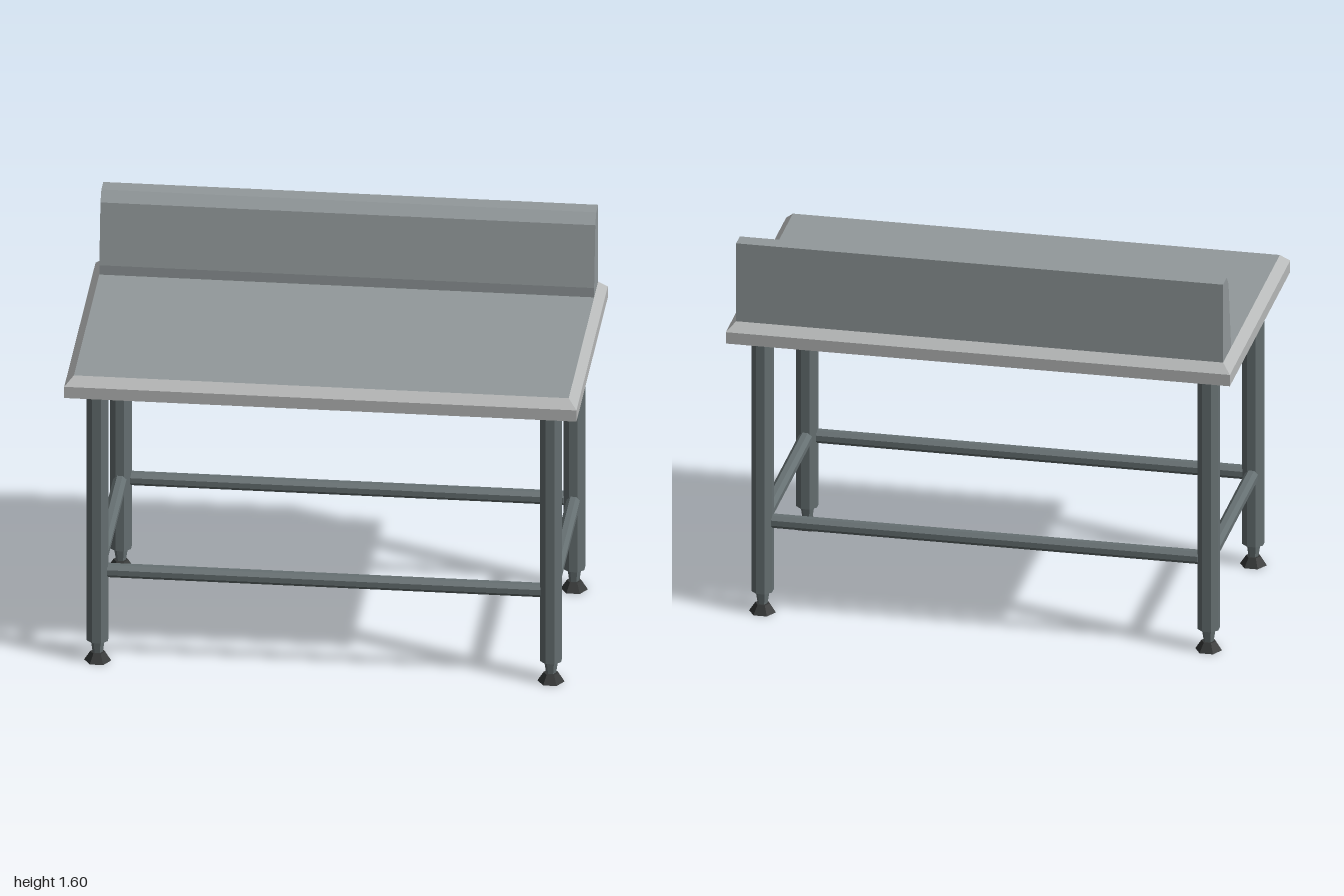
import * as THREE from 'three';

const LEG_X = 0.885, LEG_Z = 0.42, LEG_HALF = 0.041;
const FOOT_TOP = 0.09, TOP_BASE = 1.187, TOP_EDGE = 1.235, TOP_Y = 1.27;
const RAIL_Y = 0.388, RAIL_HALF = 0.026;

const paint = (color) => new THREE.MeshStandardMaterial({ color, flatShading: true });
const sheet = paint(0x92999b);
const trim = paint(0xb8baba);
const frame = paint(0x667072);
const rubber = paint(0x343636);

function addMesh(parent, name, geometry, material, x = 0, y = 0, z = 0) {
  const mesh = new THREE.Mesh(geometry, material);
  mesh.name = name;
  mesh.position.set(x, y, z);
  parent.add(mesh);
  return mesh;
}

// Upright octagonal bar with flat sides facing the axes
function octagonBar(halfWidth, length) {
  const r = halfWidth / Math.cos(Math.PI / 8);
  return new THREE.CylinderGeometry(r, r, length, 8).rotateY(Math.PI / 8);
}

// Upright hexagonal cone section with corners towards left and right
function hexCone(topRadius, bottomRadius, height) {
  return new THREE.CylinderGeometry(topRadius, bottomRadius, height, 6).rotateY(Math.PI / 6);
}

// Slab with a bevel around its upper edge
function tabletopGeometry() {
  const bevel = 0.034;
  const geo = new THREE.BoxGeometry(2, 2, 1.132, 1, 2, 1);
  const p = geo.attributes.position;
  for (let i = 0; i < p.count; i++) {
    const level = Math.round(p.getY(i)) + 1;
    p.setY(i, [TOP_BASE, TOP_EDGE, TOP_Y][level]);
    if (level === 2) {
      p.setX(i, p.getX(i) - Math.sign(p.getX(i)) * bevel);
      p.setZ(i, p.getZ(i) - Math.sign(p.getZ(i)) * bevel);
    }
  }
  geo.computeVertexNormals();
  return geo;
}

// Side profile (z, y) extruded along x
function backsplashGeometry() {
  const halfLength = 0.966;
  const profile = [[-0.532, TOP_Y], [-0.388, TOP_Y], [-0.388, 1.31], [-0.43, 1.56], [-0.463, 1.6], [-0.532, 1.6]];
  const shape = new THREE.Shape(profile.map(([z, y]) => new THREE.Vector2(z, y)));
  return new THREE.ExtrudeGeometry(shape, { depth: halfLength * 2, bevelEnabled: false })
    .rotateY(-Math.PI / 2)
    .translate(halfLength, 0, 0);
}

// Leg with a tapered neck and a flared hexagonal foot
function createLeg(name, x, z) {
  const leg = new THREE.Group();
  leg.name = name;
  leg.position.set(x, 0, z);
  addMesh(leg, 'legPost', octagonBar(LEG_HALF, TOP_BASE - FOOT_TOP), frame, 0, (FOOT_TOP + TOP_BASE) / 2);
  addMesh(leg, 'footNeck', hexCone(0.028, 0.02, 0.053), frame, 0, 0.0635);
  addMesh(leg, 'footPad', hexCone(0.029, 0.053, 0.037), rubber, 0, 0.0185);
  return leg;
}

export function createModel() {
  const table = new THREE.Group();
  table.name = 'workTable';

  // Sheet on the top and underside, lighter trim on the four edges
  addMesh(table, 'tabletop', tabletopGeometry(), [trim, trim, sheet, sheet, trim, trim]);
  addMesh(table, 'backsplash', backsplashGeometry(), sheet);

  for (const [end, sz] of [['front', 1], ['back', -1]]) {
    for (const [side, sx] of [['Left', 1], ['Right', -1]]) {
      table.add(createLeg(`${end}${side}Leg`, sx * LEG_X, sz * LEG_Z));
    }
    // Long rail between the legs
    const rail = octagonBar(RAIL_HALF, 2 * (LEG_X - LEG_HALF) + 0.004).rotateZ(Math.PI / 2);
    addMesh(table, `${end}Rail`, rail, frame, 0, RAIL_Y, sz * LEG_Z);
  }

  // Short rails at the two ends
  for (const [side, sx] of [['left', 1], ['right', -1]]) {
    const rail = octagonBar(RAIL_HALF, 2 * (LEG_Z - LEG_HALF) + 0.004).rotateX(Math.PI / 2);
    addMesh(table, `${side}Rail`, rail, frame, sx * LEG_X, RAIL_Y, 0);
  }
  return table;
}
